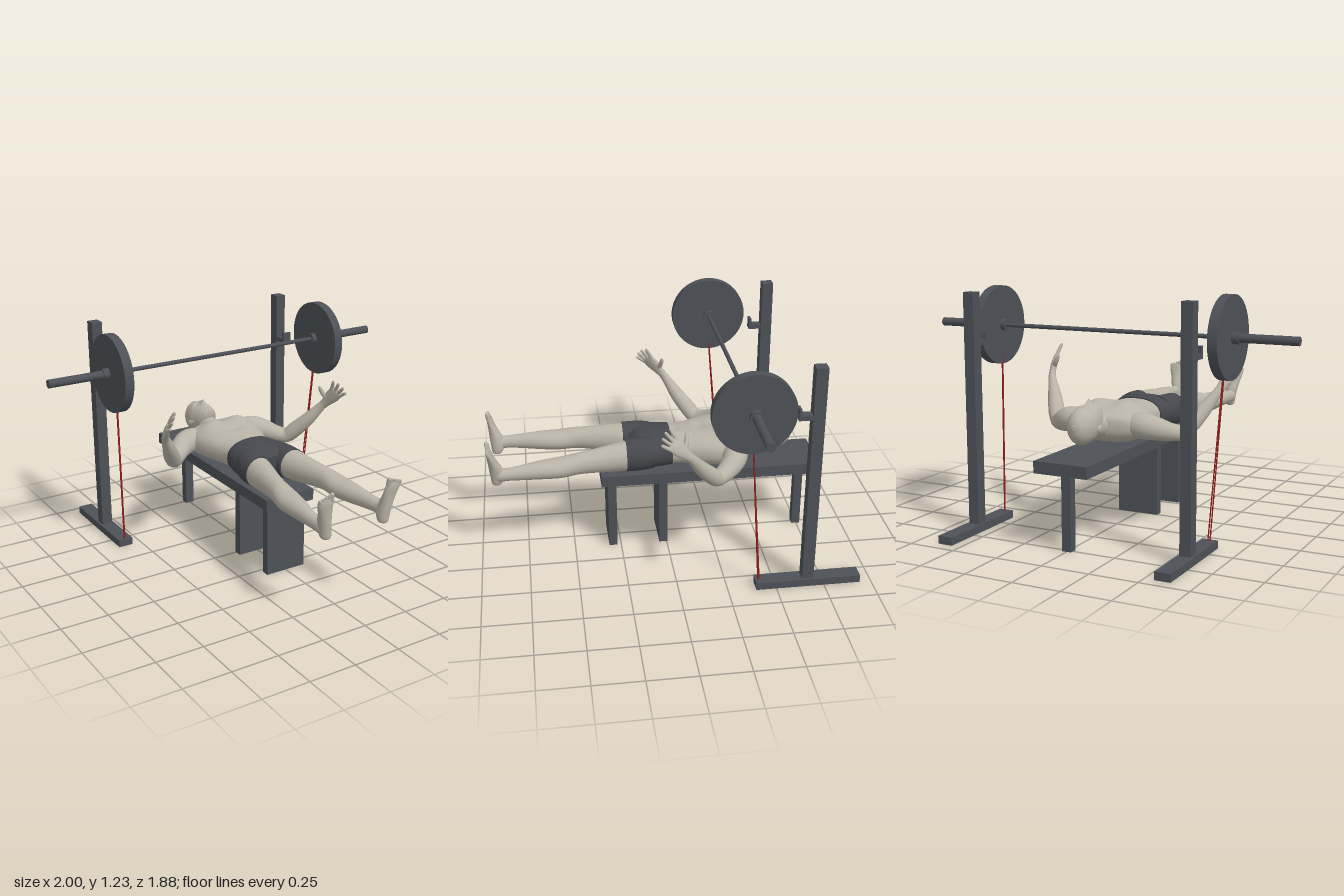
import * as THREE from 'three';

const flat = (name, color) => Object.assign(new THREE.MeshStandardMaterial({ color }), { name });
const V = (x, y, z) => new THREE.Vector3(x, y, z);
const X = V(1, 0, 0), Y = V(0, 1, 0), Z = V(0, 0, 1);

// Smooth closed body through elliptical sections [x, y, z, halfWidth, halfDepth].
// ref steers the width direction, axis fixes the section normal, deform moves points.
function loft(rows, { ref = X, axis = null, deform = null, steps = 5, sides = 24, power = 1 } = {}) {
  const path = new THREE.CatmullRomCurve3(rows.map(r => V(r[0], r[1], r[2])), false, 'catmullrom', 0.5);
  const size = new THREE.CatmullRomCurve3(rows.map(r => V(r[3], r[4], 0)), false, 'catmullrom', 0.5);
  const n = (rows.length - 1) * steps, pos = [], idx = [];
  const bend = s => Math.sign(s) * Math.abs(s) ** power;
  const rings = [];
  for (let i = 0; i <= n; i++) {
    const c = path.getPoint(i / n), s = size.getPoint(i / n);
    const t = axis || path.getTangent(i / n);
    const u = ref.clone().addScaledVector(t, -ref.dot(t)).normalize();
    const v = t.clone().cross(u);
    const ring = [];
    for (let j = 0; j < sides; j++) {
      const a = j / sides * Math.PI * 2;
      const p = c.clone().addScaledVector(u, bend(Math.cos(a)) * Math.max(s.x, 0.001))
        .addScaledVector(v, bend(Math.sin(a)) * Math.max(s.y, 0.001));
      if (deform) deform(p);
      ring.push(p);
      pos.push(p.x, p.y, p.z);
    }
    rings.push(ring);
  }
  for (let i = 0; i < n; i++) for (let j = 0; j < sides; j++) {
    const k = (j + 1) % sides, a = i * sides, b = a + sides;
    idx.push(a + j, a + k, b + k, a + j, b + k, b + j);
  }
  // flat end caps
  for (const end of [0, n]) {
    const base = pos.length / 3, mid = V(0, 0, 0);
    rings[end].forEach(p => { pos.push(p.x, p.y, p.z); mid.addScaledVector(p, 1 / sides); });
    pos.push(mid.x, mid.y, mid.z);
    for (let j = 0; j < sides; j++) {
      const k = (j + 1) % sides;
      idx.push(base + sides, base + (end ? j : k), base + (end ? k : j));
    }
  }
  const g = new THREE.BufferGeometry();
  g.setAttribute('position', new THREE.Float32BufferAttribute(pos, 3));
  g.setIndex(idx);
  g.computeVertexNormals();
  return g;
}

const bump = (x, z, cx, cz, sx, sz) => Math.exp(-(((x - cx) / sx) ** 2) - ((z - cz) / sz) ** 2);

export function createModel() {
  const model = new THREE.Group();
  model.name = 'benchPressScene';
  const steel = flat('dark grey steel', 0x4d5157);
  const skin = flat('stone skin', 0xb9b3a7);
  const cloth = flat('charcoal cloth', 0x46484d);
  const red = flat('red band', 0x94201f);

  const add = (name, geo, mat) => {
    const m = new THREE.Mesh(geo, mat);
    m.name = name;
    model.add(m);
    return m;
  };
  // box from min and max on each axis
  const box = (name, x0, x1, y0, y1, z0, z1, mat = steel) =>
    add(name, new THREE.BoxGeometry(x1 - x0, y1 - y0, z1 - z0), mat)
      .position.set((x0 + x1) / 2, (y0 + y1) / 2, (z0 + z1) / 2);
  const rodX = (name, x0, x1, r, sides = 32) => {
    const m = add(name, new THREE.CylinderGeometry(r, r, x1 - x0, sides), steel);
    m.rotation.z = Math.PI / 2;
    m.position.set((x0 + x1) / 2, 1.025, -0.34);
  };

  // bench
  box('benchTop', -0.145, 0.145, 0.385, 0.445, -0.825, 0.35);
  box('benchFrontLeg', -0.115, 0.115, 0, 0.385, 0.27, 0.315);
  box('benchMiddleLeg', -0.115, 0.115, 0, 0.385, -0.005, 0.04);
  box('benchRearLeg', -0.025, 0.025, 0, 0.385, -0.77, -0.725);

  rodX('barShaft', -0.62, 0.62, 0.011, 20);

  for (const s of [1, -1]) {
    const span = (a, b) => s > 0 ? [a, b] : [-b, -a];
    // rack
    box('rackBase', ...span(0.55, 0.63), 0, 0.04, -0.94, -0.395);
    box('rackPost', ...span(0.56, 0.618), 0.04, 1.22, -0.695, -0.635);
    box('hookArm', ...span(0.565, 0.615), 0.95, 0.975, -0.635, -0.57);
    box('hookLip', ...span(0.565, 0.615), 0.95, 1.01, -0.58, -0.567);
    // barbell end
    rodX('innerCollar', ...span(0.598, 0.625), 0.029);
    rodX('weightPlate', ...span(0.623, 0.672), 0.205, 64);
    rodX('outerCollar', ...span(0.672, 0.705), 0.03);
    rodX('barSleeve', ...span(0.7, 1), 0.022);
    // resistance band, two strands
    for (const d of [-0.004, 0.004]) {
      add('band', new THREE.TubeGeometry(new THREE.LineCurve3(
        V(s * (0.59 + d), 0.04, -0.412 + d), V(s * (0.632 + d / 2), 0.95, -0.338)), 1, 0.0035, 8), red);
    }
  }

  // torso
  add('torso', loft([
    [0, 0.56, -0.445, 0.065, 0.05], [0, 0.555, -0.41, 0.165, 0.07], [0, 0.553, -0.36, 0.205, 0.09],
    [0, 0.555, -0.28, 0.198, 0.1], [0, 0.555, -0.2, 0.18, 0.098], [0, 0.55, -0.12, 0.156, 0.09],
    [0, 0.548, -0.05, 0.144, 0.086], [0, 0.548, 0.03, 0.148, 0.085],
  ], {
    axis: Z, sides: 48, steps: 8, power: 0.85, deform: p => {
      if (p.y < 0.6) return;
      const x = Math.abs(p.x);
      p.y += 0.022 * bump(x, p.z, 0.085, -0.3, 0.06, 0.055) - 0.008 * bump(x, p.z, 0, -0.28, 0.015, 0.1)
        - 0.01 * bump(x, p.z, 0, -0.19, 0.05, 0.03) - 0.012 * bump(x, p.z, 0, -0.06, 0.01, 0.012);
    },
  }), skin);
  add('neck', loft([
    [0, 0.575, -0.54, 0.05, 0.055], [0, 0.567, -0.48, 0.055, 0.058],
    [0, 0.56, -0.43, 0.062, 0.06], [0, 0.555, -0.38, 0.09, 0.06],
  ], { axis: Z }), skin);

  // head, face upward
  add('head', loft([
    [0, 0.59, -0.695, 0.008, 0.01], [0, 0.585, -0.682, 0.036, 0.05], [0, 0.586, -0.645, 0.062, 0.083],
    [0, 0.59, -0.585, 0.071, 0.094], [0, 0.597, -0.535, 0.065, 0.086], [0, 0.615, -0.495, 0.053, 0.063],
    [0, 0.637, -0.47, 0.034, 0.035], [0, 0.645, -0.462, 0.01, 0.012],
  ], {
    axis: Z, sides: 56, steps: 8, deform: p => {
      if (p.y < 0.61) return;
      const x = Math.abs(p.x);
      p.y += 0.024 * bump(x, p.z, 0, -0.538, 0.013, 0.013) + 0.013 * bump(x, p.z, 0, -0.56, 0.009, 0.02)
        + 0.006 * bump(x, p.z, 0.025, -0.595, 0.022, 0.008) - 0.011 * bump(x, p.z, 0.028, -0.572, 0.014, 0.01)
        + 0.009 * bump(x, p.z, 0, -0.508, 0.02, 0.007) + 0.007 * bump(x, p.z, 0, -0.475, 0.018, 0.01);
    },
  }), skin);

  // shorts
  add('shortsHips', loft([
    [0, 0.549, -0.03, 0.149, 0.091], [0, 0.549, 0.03, 0.162, 0.093],
    [0, 0.548, 0.09, 0.168, 0.091], [0, 0.548, 0.15, 0.13, 0.08], [0, 0.548, 0.185, 0.06, 0.055],
  ], { axis: Z, sides: 40, power: 0.85 }), cloth);

  const hand = V(0.12, 0.72, 0.68).normalize(), across = V(-0.6, 0.65, -0.6).normalize();
  for (const s of [1, -1]) {
    const flip = rows => rows.map(([x, ...rest]) => [x * s, ...rest]);
    const limb = (name, rows, mat, opt) => add(name, loft(flip(rows), opt), mat);
    const armRef = V(across.x * s, across.y, across.z);

    limb('ear', [[0.064, 0.575, -0.585, 0.006, 0.008], [0.074, 0.572, -0.575, 0.008, 0.017],
      [0.073, 0.578, -0.555, 0.007, 0.014], [0.065, 0.588, -0.537, 0.004, 0.006]], skin, { axis: Z, sides: 12 });

    limb('shortsLeg', [[0.085, 0.548, 0.07, 0.08, 0.088], [0.097, 0.547, 0.14, 0.083, 0.089],
      [0.103, 0.546, 0.215, 0.081, 0.086]], cloth, { axis: Z, sides: 32 });

    limb('leg', [
      [0.1, 0.545, 0.15, 0.077, 0.083], [0.106, 0.545, 0.22, 0.075, 0.08], [0.12, 0.543, 0.31, 0.064, 0.073],
      [0.136, 0.542, 0.4, 0.056, 0.063], [0.147, 0.54, 0.47, 0.054, 0.058], [0.157, 0.53, 0.56, 0.064, 0.053],
      [0.165, 0.528, 0.65, 0.055, 0.049], [0.176, 0.525, 0.75, 0.039, 0.041], [0.182, 0.522, 0.83, 0.031, 0.034],
      [0.18, 0.52, 0.88, 0.03, 0.036], [0.178, 0.52, 0.905, 0.018, 0.024],
    ], skin, { axis: Z, sides: 32 });

    limb('foot', [
      [0.17, 0.461, 0.892, 0.01, 0.012], [0.17, 0.472, 0.89, 0.026, 0.027], [0.173, 0.51, 0.886, 0.032, 0.036],
      [0.18, 0.56, 0.893, 0.034, 0.034], [0.188, 0.61, 0.908, 0.038, 0.023],
      [0.196, 0.655, 0.92, 0.044, 0.016], [0.199, 0.682, 0.925, 0.04, 0.01],
    ], skin, { axis: Y });
    for (let i = 0; i < 5; i++) {
      const x = 0.167 + i * 0.0165, y = 0.708 - i * 0.006, r = i ? 0.0075 : 0.012;
      limb('toe', [[x, 0.66, 0.923, r, r], [x, y - 0.012, 0.929, r, r], [x, y - 0.003, 0.931, r * 0.8, r * 0.8],
        [x, y, 0.931, 0.002, 0.002]], skin, { axis: Y, sides: 10, steps: 3 });
    }

    limb('arm', [
      [0.12, 0.56, -0.345, 0.055, 0.06], [0.2, 0.56, -0.35, 0.066, 0.066], [0.265, 0.545, -0.322, 0.059, 0.058],
      [0.32, 0.525, -0.272, 0.046, 0.048], [0.362, 0.52, -0.226, 0.041, 0.042], [0.395, 0.56, -0.188, 0.043, 0.044],
      [0.44, 0.63, -0.13, 0.037, 0.036], [0.487, 0.71, -0.075, 0.025, 0.022], [0.503, 0.745, -0.045, 0.027, 0.018],
      [0.514, 0.785, -0.008, 0.039, 0.017], [0.52, 0.82, 0.026, 0.037, 0.012], [0.521, 0.826, 0.032, 0.03, 0.006],
    ], skin, { ref: armRef });

    // fingers fan out from the knuckles
    [0.05, 0.064, 0.068, 0.06].forEach((len, i) => {
      const k = (i - 1.5) * 0.019;
      const root = V(0.519, 0.812, 0.018).addScaledVector(across, k);
      const dir = hand.clone().addScaledVector(across, (i - 1.5) * 0.2).normalize();
      const rows = [[0, 0.011], [0.5, 0.0095], [0.9, 0.008], [1, 0.002]].map(([f, r]) => {
        const p = root.clone().addScaledVector(dir, f * (len + 0.012));
        return [p.x - 0.012 * f * f, p.y, p.z, r, r];
      });
      limb('finger', rows, skin, { ref: armRef, sides: 10, steps: 3 });
    });
    limb('thumb', [[0.505, 0.765, -0.03, 0.014, 0.014], [0.482, 0.797, -0.046, 0.013, 0.013],
      [0.465, 0.828, -0.05, 0.01, 0.01], [0.457, 0.843, -0.05, 0.003, 0.003]], skin, { ref: Z, sides: 10, steps: 3 });
  }
  return model;
}
